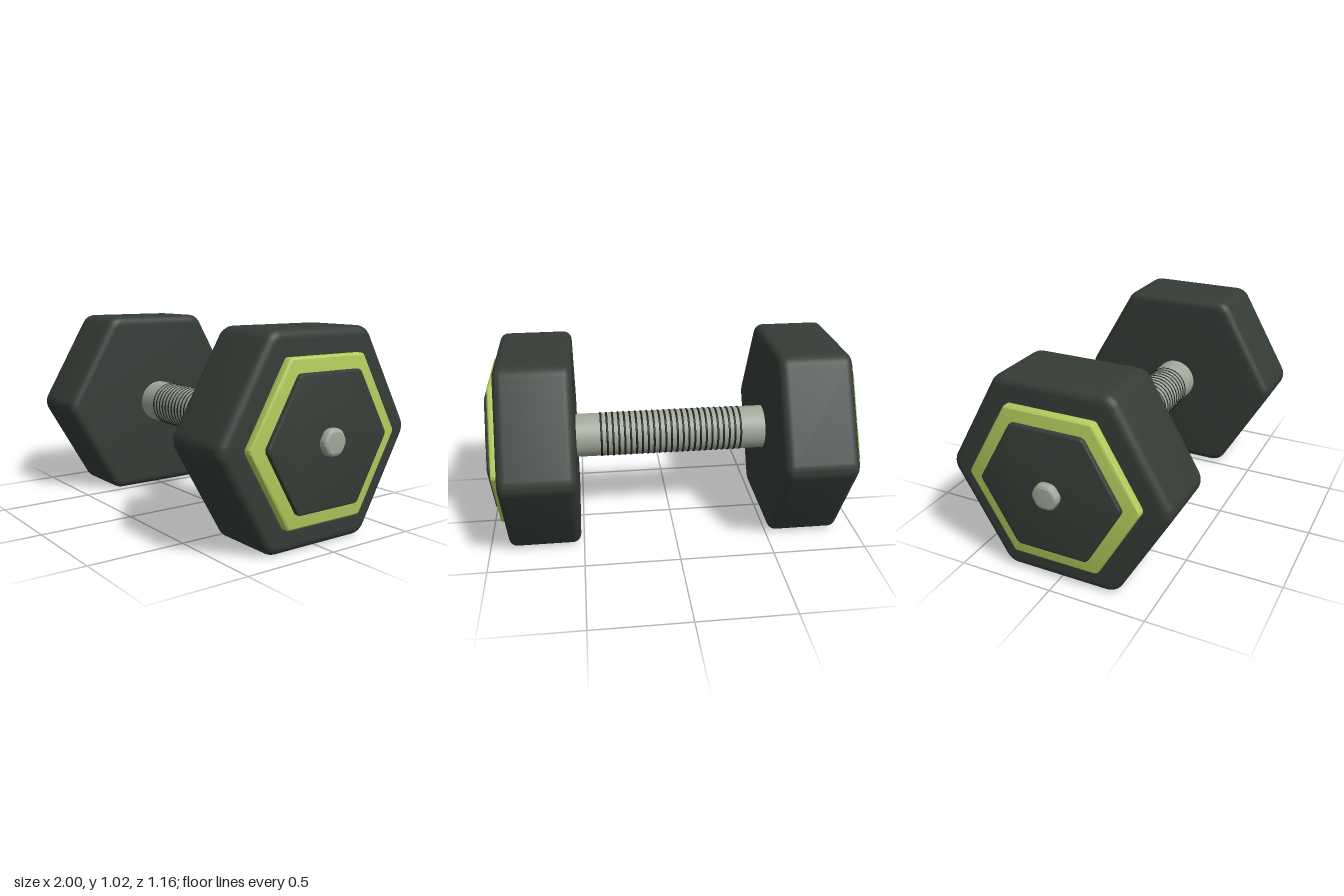
import * as THREE from 'three';
import { toCreasedNormals } from 'three/addons/utils/BufferGeometryUtils.js';

const CENTER_Y = 0.512;

function mat(name, color) {
  const m = new THREE.MeshStandardMaterial({ color });
  m.name = name;
  return m;
}

// Hexagon with rounded corners: flats on top and bottom, tips sideways
function hexShape(apothem, r) {
  const shape = new THREE.Shape();
  const d = (apothem - r) / Math.cos(Math.PI / 6);
  for (let i = 0; i < 6; i++) {
    const a = (i * Math.PI) / 3;
    shape.absarc(d * Math.cos(a), d * Math.sin(a), r, a - Math.PI / 6, a + Math.PI / 6, false);
  }
  shape.closePath();
  return shape;
}

// Hexagonal slab with softened edges, spanning x0..x1
function hexSlab(apothem, cornerRadius, x0, x1, bevel) {
  const geo = new THREE.ExtrudeGeometry(hexShape(apothem - bevel, cornerRadius - bevel), {
    depth: x1 - x0 - 2 * bevel,
    bevelEnabled: true,
    bevelSize: bevel,
    bevelThickness: bevel,
    bevelSegments: 6,
    curveSegments: 6,
  });
  geo.translate(0, 0, x0 + bevel);
  geo.rotateY(Math.PI / 2);
  return toCreasedNormals(geo, 0.6);
}

export function createModel() {
  const rubber = mat('dark rubber', 0x353c36);
  const lime = mat('lime trim', 0xb2cc5c);
  const steel = mat('grey steel', 0xa0a898);
  const groove = mat('grip black', 0x20251f);

  const model = new THREE.Group();
  model.name = 'dumbbell';
  const add = (parent, name, geo, material) => {
    const mesh = new THREE.Mesh(geo, material);
    mesh.name = name;
    parent.add(mesh);
    return mesh;
  };

  // Weighted ends, the second turned half round
  const headParts = [
    ['head', hexSlab(0.512, 0.085, 0.515, 0.9, 0.045), rubber],
    ['trimPlate', hexSlab(0.39, 0.025, 0.88, 0.94, 0.015), lime],
    ['capPlate', hexSlab(0.32, 0.03, 0.91, 0.962, 0.01), rubber],
    ['bolt', hexSlab(0.064, 0.045, 0.94, 1.0, 0.018), steel],
  ];
  for (const [name, turn] of [['leftEnd', 0], ['rightEnd', Math.PI]]) {
    const end = new THREE.Group();
    end.name = name;
    end.position.y = CENTER_Y;
    end.rotation.y = turn;
    for (const [part, geo, material] of headParts) add(end, part, geo, material);
    model.add(end);
  }

  // Handle bar
  const barGeo = new THREE.CylinderGeometry(0.118, 0.118, 1.1, 48, 1, true);
  barGeo.rotateZ(Math.PI / 2);
  add(model, 'handleBar', barGeo, steel).position.y = CENTER_Y;

  // Grip rings along the bar
  const grip = new THREE.Group();
  grip.name = 'grip';
  const ringGeo = new THREE.TorusGeometry(0.1145, 0.007, 8, 48);
  ringGeo.rotateY(Math.PI / 2);
  const rings = 25;
  for (let i = 0; i < rings; i++) {
    const x = -0.38 + (0.76 * i) / (rings - 1);
    add(grip, 'gripRing', ringGeo, groove).position.set(x, CENTER_Y, 0);
  }
  model.add(grip);

  return model;
}
